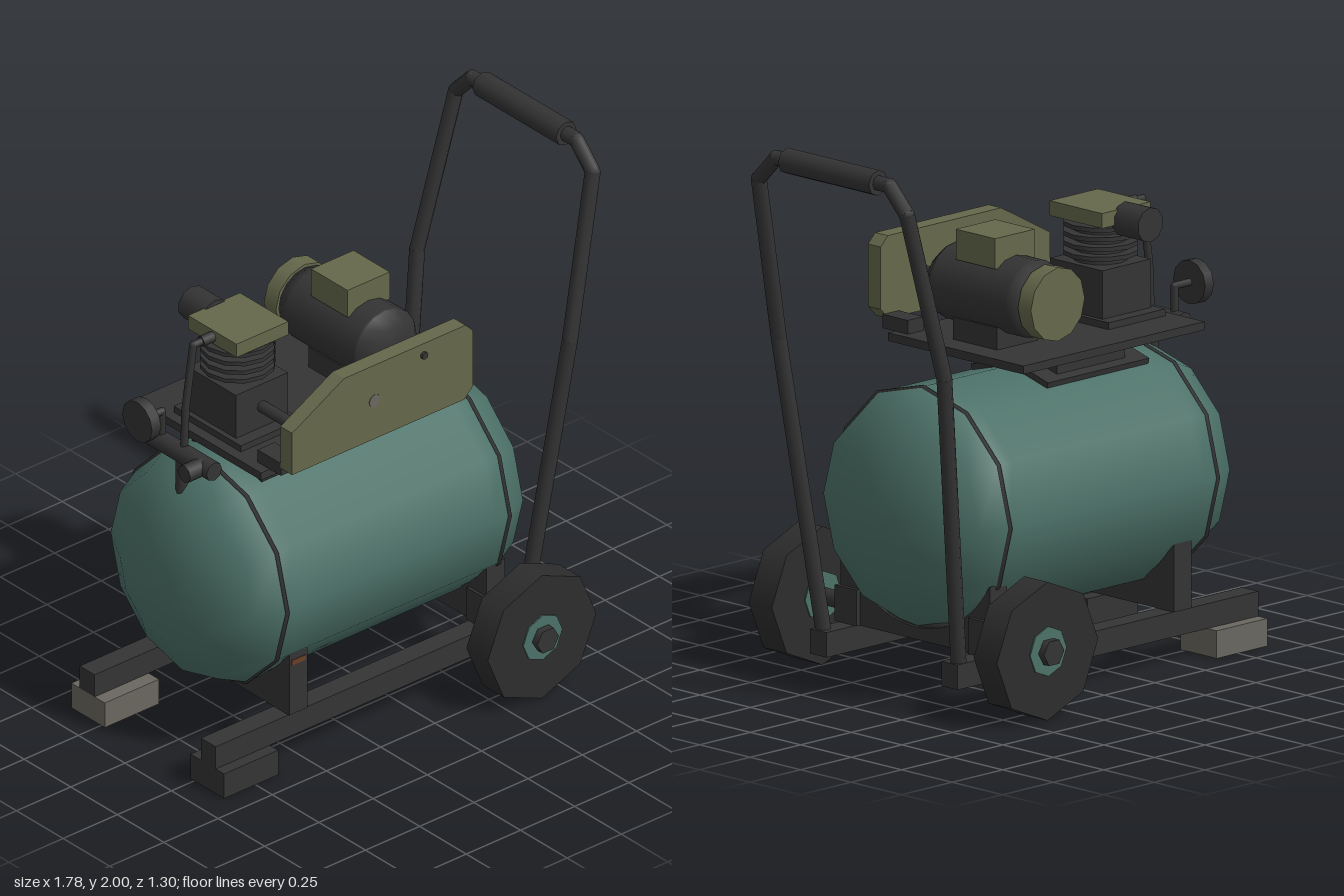
import * as THREE from 'three';

const mat = (name, color) => Object.assign(new THREE.MeshStandardMaterial({ color }), { name });

export function createModel() {
  const root = new THREE.Group();
  root.name = 'airCompressor';
  const teal = mat('tankTeal', 0x4c7168);
  const dark = mat('darkMetal', 0x343434);
  const rubber = mat('tyreRubber', 0x2d2d2d);
  const olive = mat('oliveCover', 0x65684b);
  const grey = mat('wornGrey', 0x69675f);
  const rust = mat('rust', 0x6a4028);

  const add = (name, geo, m, parent = root) => {
    const mesh = new THREE.Mesh(geo, m);
    mesh.name = name;
    parent.add(mesh);
    return mesh;
  };
  // Box given by its extents on each axis
  const box = (name, [x0, x1], [y0, y1], [z0, z1], m) => {
    const b = add(name, new THREE.BoxGeometry(x1 - x0, y1 - y0, z1 - z0), m);
    b.position.set((x0 + x1) / 2, (y0 + y1) / 2, (z0 + z1) / 2);
    return b;
  };
  // Cylinder between two points
  const rod = (name, a, b, r, m, sides = 8, parent = root) => {
    const p = new THREE.Vector3(...a), q = new THREE.Vector3(...b);
    const c = add(name, new THREE.CylinderGeometry(r, r, p.distanceTo(q), sides), m, parent);
    c.position.copy(p).add(q).multiplyScalar(0.5);
    c.quaternion.setFromUnitVectors(new THREE.Vector3(0, 1, 0), q.sub(p).normalize());
    return c;
  };
  // Bent pipe made of straight runs with round elbows
  const pipe = (name, pts, r, m) => {
    const g = new THREE.Group();
    g.name = name;
    root.add(g);
    for (let i = 1; i < pts.length; i++) {
      rod(name + 'Run', pts[i - 1], pts[i], r, m, 8, g);
      if (i < pts.length - 1) add(name + 'Elbow', new THREE.SphereGeometry(r, 8, 6), m, g).position.set(...pts[i]);
    }
  };
  // Lathe of [radius, height] pairs, turned about the given axis
  const lathe = (profile, sides) =>
    new THREE.LatheGeometry(profile.map(([r, h]) => new THREE.Vector2(r, h)), sides);

  // Tank with domed ends and weld seams
  const tank = add('tank', lathe([[0, -0.853], [0.09, -0.848], [0.24, -0.817], [0.385, -0.735], [0.435, -0.625],
    [0.435, -0.55], [0.435, 0.33], [0.435, 0.4], [0.385, 0.505], [0.24, 0.585], [0.09, 0.618], [0, 0.622]], 12), teal);
  tank.rotation.z = -Math.PI / 2;
  tank.position.y = 0.66;
  for (const x of [-0.625, 0.4]) {
    const seam = add('tankSeam', lathe([[0.43, -0.006], [0.441, -0.006], [0.441, 0.006], [0.43, 0.006]], 12), dark);
    seam.rotation.z = -Math.PI / 2;
    seam.position.set(x, 0.66, 0);
  }

  // Cradles under the tank
  const cradle = new THREE.Shape();
  cradle.moveTo(-0.37, 0.19);
  cradle.lineTo(0.37, 0.19);
  cradle.lineTo(0.37, 0.445);
  const a0 = Math.atan2(-0.215, 0.36);
  cradle.absarc(0, 0.66, 0.425, a0, -Math.PI - a0, true);
  cradle.lineTo(-0.37, 0.445);
  for (const x of [-0.56, 0.35]) {
    const geo = new THREE.ExtrudeGeometry(cradle, { depth: 0.085, bevelEnabled: false, curveSegments: 12 });
    geo.rotateY(Math.PI / 2);
    add('cradle', geo, dark).position.x = x;
  }
  box('rustPatch', [-0.55, -0.485], [0.39, 0.41], [0.369, 0.373], rust);

  // Rails, feet, axle brackets, wheels
  for (const s of [1, -1]) {
    const span = (a, b) => (s > 0 ? [a, b] : [-b, -a]);
    box('rail', [-0.895, 0.59], [0.1, 0.19], span(0.285, 0.365), dark);
    box('foot', [-0.895, -0.645], [0, 0.1], span(0.23, 0.41), s > 0 ? dark : grey);
    box('axleBracket', [0.34, 0.45], [0.19, 0.32], span(0.275, 0.385), dark);
    rod('tyre', [0.395, 0.25, s * 0.5], [0.395, 0.25, s * 0.615], 0.25, rubber, 8);
    rod('hub', [0.395, 0.25, s * 0.495], [0.395, 0.25, s * 0.62], 0.09, teal, 8);
    const nut = rod('wheelNut', [0.395, 0.25, s * 0.6], [0.395, 0.25, s * 0.648], 0.05, dark, 6);
    nut.rotateY(Math.PI / 6);
  }
  rod('axle', [0.395, 0.25, -0.52], [0.395, 0.25, 0.52], 0.032, dark, 10);

  // Push handle with grip
  const side = [[0.545, 0.11, 0.33], [0.7, 1.25, 0.41], [0.842, 1.86, 0.367], [0.842, 1.95, 0.28]];
  pipe('handle', [...side, ...side.slice().reverse().map(([x, y, z]) => [x, y, -z])], 0.028, dark);
  rod('handleGrip', [0.842, 1.95, -0.225], [0.842, 1.95, 0.225], 0.047, dark, 8);

  // Mounting plate on two pedestals
  box('mountPlate', [-0.66, 0.235], [1.17, 1.2], [-0.335, 0.335], dark);
  for (const s of [1, -1]) {
    const zs = [s * 0.08, s * 0.155].sort((a, b) => a - b);
    box('pedestal', [-0.445, -0.11], [1.05, 1.18], zs, dark);
    const pad = box('pedestalPad', [-0.53, -0.03], [1.055, 1.085], [s * 0.12 - 0.07, s * 0.12 + 0.07], dark);
    pad.rotation.x = s * 0.27;
  }

  // Motor, lying front to back
  const motor = add('motorBody', lathe([[0, -0.25], [0.12, -0.25], [0.14, -0.2], [0.14, -0.19], [0.14, 0.18],
    [0.14, 0.19], [0.1, 0.24], [0, 0.24]], 16), dark);
  motor.rotation.x = Math.PI / 2;
  motor.position.set(0.04, 1.383, 0);
  rod('motorEndCap', [0.04, 1.383, -0.31], [0.04, 1.383, -0.245], 0.133, olive, 12);
  box('motorFoot', [-0.06, 0.14], [1.2, 1.28], [-0.11, 0.11], dark);
  box('junctionBox', [-0.055, 0.14], [1.49, 1.6], [-0.1, 0.095], olive);
  rod('motorShaft', [0.04, 1.385, 0.2], [0.04, 1.385, 0.41], 0.022, dark);

  // Pump: crankcase, finned cylinder, head, air filter
  box('crankcaseBase', [-0.62, -0.34], [1.2, 1.225], [-0.18, 0.18], dark);
  box('crankcase', [-0.6, -0.36], [1.22, 1.4], [-0.13, 0.13], dark);
  rod('cylinder', [-0.48, 1.39, 0], [-0.48, 1.56, 0], 0.095, dark, 12);
  for (const y of [1.43, 1.465, 1.5, 1.535]) rod('coolingFin', [-0.48, y - 0.008, 0], [-0.48, y + 0.008, 0], 0.135, dark, 12);
  box('cylinderHead', [-0.597, -0.358], [1.553, 1.607], [-0.13, 0.13], olive);
  rod('airFilter', [-0.48, 1.565, -0.247], [-0.48, 1.565, -0.12], 0.063, dark, 10);
  rod('pumpShaft', [-0.48, 1.31, 0.1], [-0.48, 1.31, 0.41], 0.022, dark);

  // Belt guard with brackets and bolts
  const guard = new THREE.Shape([[-0.62, 1.23], [0.175, 1.23], [0.215, 1.27], [0.215, 1.495], [0.18, 1.53],
    [-0.38, 1.53], [-0.62, 1.4]].map(([x, y]) => new THREE.Vector2(x, y)));
  add('beltGuard', new THREE.ExtrudeGeometry(guard, { depth: 0.063, bevelEnabled: false }), olive).position.z = 0.392;
  for (const x of [-0.62, 0.125]) box('guardBracket', [x, x + 0.078], [1.2, 1.25], [0.27, 0.395], dark);
  rod('guardBolt', [-0.015, 1.485, 0.45], [-0.015, 1.485, 0.466], 0.014, dark);
  rod('guardDisc', [-0.24, 1.385, 0.45], [-0.24, 1.385, 0.457], 0.026, grey);

  // Delivery pipe, manifold, regulator knob and gauge
  pipe('deliveryPipe', [[-0.59, 1.58, 0], [-0.685, 1.58, 0], [-0.72, 1.34, 0], [-0.735, 1.0, 0]], 0.014, dark);
  rod('pipeFitting', [-0.65, 1.58, 0], [-0.59, 1.58, 0], 0.02, dark);
  rod('manifold', [-0.73, 1.155, -0.165], [-0.73, 1.155, 0.165], 0.036, dark);
  rod('manifoldStem', [-0.735, 1.0, 0], [-0.735, 1.15, 0], 0.024, dark);
  rod('regulatorKnob', [-0.82, 1.155, 0.108], [-0.73, 1.155, 0.108], 0.034, dark);
  rod('gauge', [-0.845, 1.277, -0.115], [-0.803, 1.277, -0.115], 0.08, dark, 12);
  pipe('gaugeStem', [[-0.81, 1.277, -0.115], [-0.73, 1.277, -0.115], [-0.73, 1.15, -0.115]], 0.014, dark);

  return root;
}
